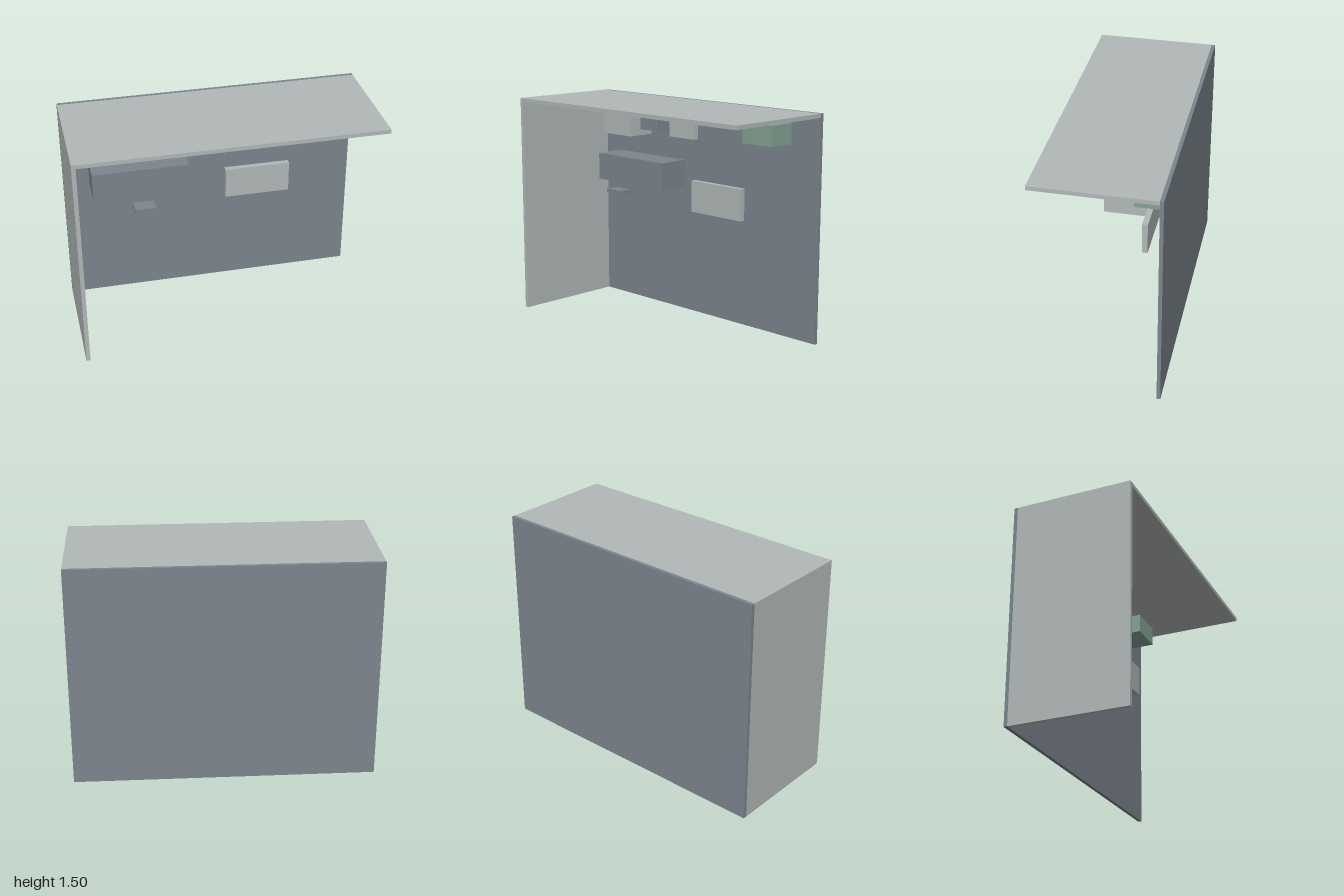
import * as THREE from 'three';

const material = (name, color) => {
  const m = new THREE.MeshStandardMaterial({ color });
  m.name = name;
  return m;
};

export function createModel() {
  const group = new THREE.Group();
  group.name = 'roomCorner';
  const grey = material('paleGrey', 0xb1b8b7);
  const slate = material('slateBlue', 0x7c858d);
  const green = material('softGreen', 0x84a294);

  // Box given by its low and high limits on each axis
  const slab = (name, mat, [x0, x1], [y0, y1], [z0, z1]) => {
    const mesh = new THREE.Mesh(new THREE.BoxGeometry(x1 - x0, y1 - y0, z1 - z0), mat);
    mesh.position.set((x0 + x1) / 2, (y0 + y1) / 2, (z0 + z1) / 2);
    mesh.name = name;
    group.add(mesh);
  };

  const wallFace = -0.38;

  // Shell: back wall, one side wall and the roof
  slab('backWall', slate, [-1, 1], [0, 1.5], [-0.404, wallFace]);
  slab('sideWall', grey, [-1, -0.973], [0, 1.473], [wallFace, 0.404]);
  slab('roof', grey, [-1, 1], [1.473, 1.5], [wallFace, 0.404]);

  // Row of upper boxes fixed to the back wall
  slab('upperCabinet', grey, [-0.795, -0.508], [1.222, 1.38], [wallFace, -0.178]);
  slab('upperSlateBox', slate, [-0.428, -0.256], [1.28, 1.398], [wallFace, -0.195]);
  slab('upperGreenBox', green, [0.524, 0.77], [1.285, 1.42], [wallFace, -0.186]);

  // Wide cabinet
  slab('wideCabinet', slate, [-0.827, -0.176], [0.884, 1.072], [wallFace, -0.163]);

  // Thin pieces standing clear of the wall
  slab('upperPanel', grey, [-0.063, 0.162], [1.275, 1.405], [-0.155, -0.118]);
  slab('lowerPanel', grey, [0.077, 0.518], [0.77, 0.983], [-0.223, -0.186]);
  slab('smallTray', slate, [-0.573, -0.432], [0.84, 0.865], [-0.1, -0.008]);

  return group;
}
